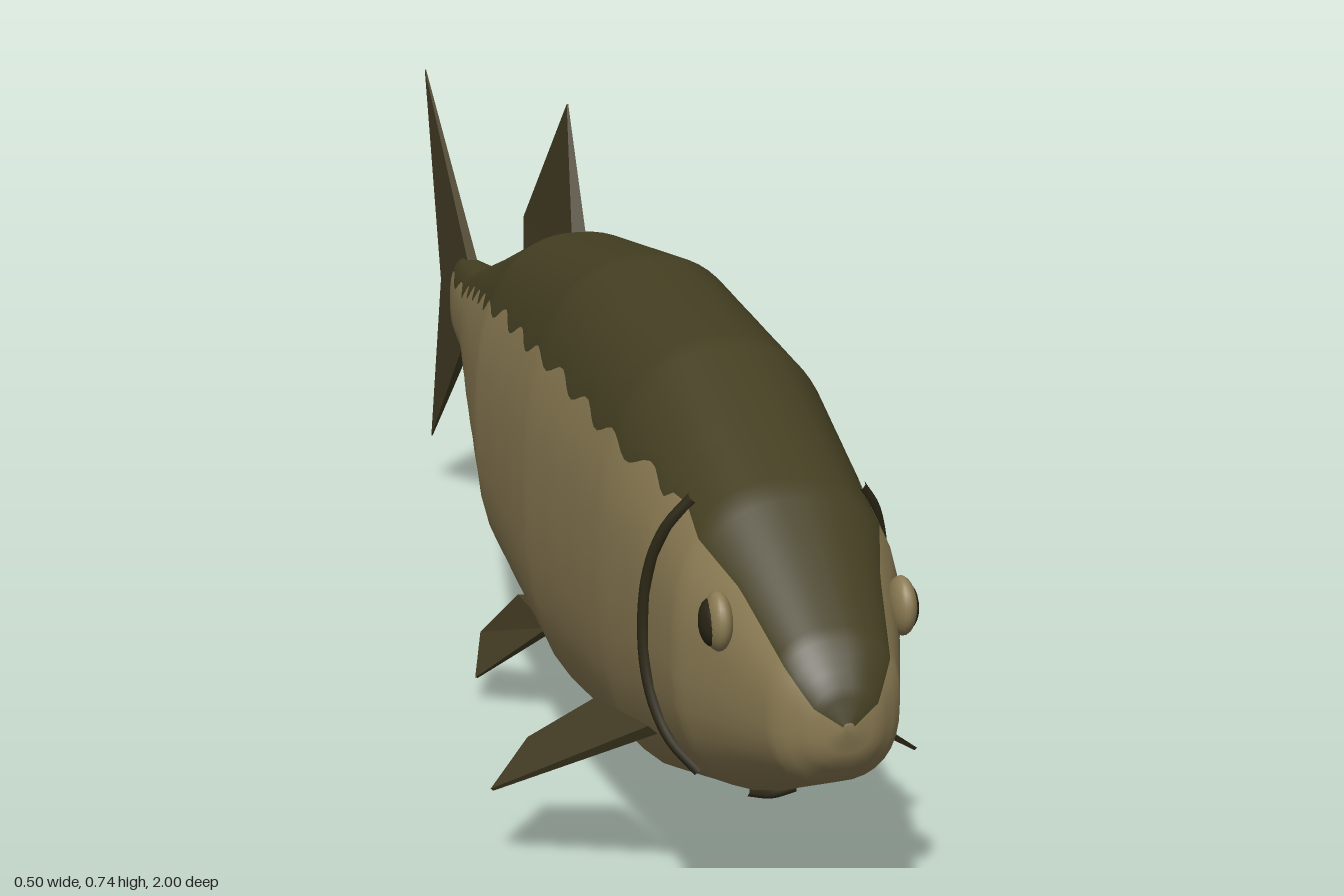
import * as THREE from 'three';

const mat = (name, color, side = THREE.FrontSide) => {
  const m = new THREE.MeshStandardMaterial({ color, side });
  m.name = name;
  return m;
};

// Body stations from nose to tail: z, top y, bottom y, half width
const STATIONS = [
  [0.998, 0.326, 0.314, 0.006], [0.988, 0.36, 0.28, 0.036], [0.96, 0.4, 0.25, 0.066],
  [0.8, 0.51, 0.18, 0.122], [0.56, 0.605, 0.11, 0.14], [0.25, 0.63, 0.083, 0.148],
  [-0.07, 0.59, 0.125, 0.135], [-0.32, 0.508, 0.205, 0.092], [-0.57, 0.43, 0.282, 0.046],
  [-0.72, 0.415, 0.29, 0.026],
];
// Height of the line between back and belly: z, y
const LINE = [
  [0.998, 0.322], [0.988, 0.34], [0.96, 0.375], [0.87, 0.43], [0.75, 0.485], [0.6, 0.5],
  [0.3, 0.52], [0, 0.51], [-0.2, 0.48], [-0.4, 0.44], [-0.57, 0.4], [-0.72, 0.388],
];
const POWER = 2.45; // squareness of the cross-section

function sample(table, z) {
  let i = 0;
  while (i < table.length - 2 && z < table[i + 1][0]) i++;
  const a = table[i], b = table[i + 1];
  const t = THREE.MathUtils.clamp((z - a[0]) / (b[0] - a[0]), 0, 1);
  return a.slice(1).map((v, k) => v + (b[k + 1] - v) * t);
}

const signedPow = (v, p) => Math.sign(v) * Math.pow(Math.abs(v), p);

// Half width of the body at a given height and length
function sideX(y, z) {
  const [top, bottom, w] = sample(STATIONS, z);
  const t = Math.min(1, Math.abs(y - (top + bottom) / 2) / ((top - bottom) / 2));
  return w * Math.pow(1 - Math.pow(t, POWER), 1 / POWER);
}

// One skin, with the scalloped colour line running along its rows
function bodyGeometry() {
  const zs = [];
  STATIONS.slice(0, -1).forEach((s, i) => {
    const end = STATIONS[i + 1][0];
    const n = Math.max(3, Math.ceil((s[0] - end) / 0.014));
    for (let k = 0; k < n; k++) zs.push(s[0] + ((end - s[0]) * k) / n);
  });
  zs.push(-0.72);
  const HALF = 22, N = HALF * 2;
  const pos = [], back = [], belly = [];
  for (const z of zs) {
    const [top, bottom, w] = sample(STATIONS, z);
    const c = (top + bottom) / 2, h = (top - bottom) / 2;
    const wave = z < 0.72 ? 0.009 * Math.sin((z * Math.PI * 2) / 0.105) : 0;
    const t = THREE.MathUtils.clamp((sample(LINE, z)[0] + wave - c) / h, -0.9, 0.95);
    const b = Math.acos(signedPow(t, POWER / 2));
    for (let j = 0; j < N; j++) {
      const a = j < HALF ? -b + (2 * b * j) / HALF
        : b + ((2 * Math.PI - 2 * b) * (j - HALF)) / HALF;
      pos.push(w * signedPow(Math.sin(a), 2 / POWER), c + h * signedPow(Math.cos(a), 2 / POWER), z);
    }
  }
  for (let i = 0; i < zs.length - 1; i++) {
    for (let j = 0; j < N; j++) {
      const a = i * N + j, b = i * N + ((j + 1) % N);
      (j < HALF ? back : belly).push(a, b, a + N, b, b + N, a + N);
    }
  }
  // End caps
  const last = (zs.length - 1) * N;
  for (let j = 1; j < N - 1; j++) {
    belly.push(0, j + 1, j);
    belly.push(last, last + j, last + j + 1);
  }
  const g = new THREE.BufferGeometry();
  g.setAttribute('position', new THREE.Float32BufferAttribute(pos, 3));
  g.setIndex([...back, ...belly]);
  g.addGroup(0, back.length, 0);
  g.addGroup(back.length, belly.length, 1);
  g.computeVertexNormals();
  return g;
}

// Flat fin from corner points, each given as x, y, z, half thickness
function finGeometry(corners) {
  const p = corners.map((c) => new THREE.Vector3(c[0], c[1], c[2]));
  const normal = p[1].clone().sub(p[0]).cross(p[2].clone().sub(p[0])).normalize();
  const up = p.map((v, i) => v.clone().addScaledVector(normal, corners[i][3]));
  const down = p.map((v, i) => v.clone().addScaledVector(normal, -corners[i][3]));
  const tris = [];
  for (let i = 1; i < p.length - 1; i++) {
    tris.push(up[0], up[i], up[i + 1], down[0], down[i + 1], down[i]);
  }
  for (let i = 0; i < p.length; i++) {
    const j = (i + 1) % p.length;
    tris.push(up[i], down[i], down[j], up[i], down[j], up[j]);
  }
  const g = new THREE.BufferGeometry().setFromPoints(tris);
  g.computeVertexNormals();
  return g;
}

export function createModel() {
  const group = new THREE.Group();
  group.name = 'fish';
  const backMat = mat('dark olive back', 0x443f22);
  const bellyMat = mat('tan belly', 0x8c7c54);
  const finMat = mat('olive fin', 0x463f26, THREE.DoubleSide);
  const gillMat = mat('dark gill', 0x2e2917);
  const pupilMat = mat('dark pupil', 0x2a2616);

  const add = (name, geometry, material) => {
    const m = new THREE.Mesh(geometry, material);
    m.name = name;
    group.add(m);
    return m;
  };

  add('body', bodyGeometry(), [backMat, bellyMat]);

  // Fins on the centre line
  add('dorsalFin', finGeometry([
    [0, 0.55, -0.055, 0.011], [0, 0.742, -0.125, 0.001], [0, 0.55, -0.355, 0.003], [0, 0.47, -0.32, 0.011],
  ]), finMat);
  add('analFin', finGeometry([
    [0, 0.18, -0.075, 0.01], [0, 0.0, -0.185, 0.001], [0, 0.16, -0.355, 0.003], [0, 0.25, -0.32, 0.01],
  ]), finMat);
  add('tailFin', finGeometry([
    [0, 0.345, -0.885, 0.004], [0, 0.075, -0.985, 0.001], [0, 0.29, -0.715, 0.007],
    [0, 0.418, -0.685, 0.007], [0, 0.642, -0.998, 0.001],
  ]), finMat);

  for (const s of [1, -1]) {
    const side = s > 0 ? 'left' : 'right';
    const mirror = (pts) => pts.map(([x, ...rest]) => [x * s, ...rest]);

    // Paired fins
    add(side + 'PectoralFin', finGeometry(mirror([
      [0.11, 0.213, 0.68, 0.007], [0.127, 0.19, 0.52, 0.007], [0.188, 0.122, 0.44, 0.003], [0.249, 0.095, 0.515, 0.002],
    ])), finMat);
    add(side + 'PelvicFin', finGeometry(mirror([
      [0.082, 0.14, 0.125, 0.007], [0.095, 0.15, 0.02, 0.007], [0.124, 0.068, -0.085, 0.003], [0.149, 0.034, -0.01, 0.002],
    ])), finMat);

    // Gill edge hugging the side of the head
    const gill = [];
    for (let k = 0; k <= 10; k++) {
      const y = 0.492 - 0.03 * k;
      const z = 0.715 + 0.04 * Math.pow((y - 0.34) / 0.15, 2);
      gill.push(new THREE.Vector3(s * (sideX(y, z) + 0.002), y, z));
    }
    add(side + 'GillEdge', new THREE.TubeGeometry(new THREE.CatmullRomCurve3(gill), 30, 0.007, 8), gillMat);

    // Eye with a raised pupil
    const eye = add(side + 'Eye', new THREE.SphereGeometry(1, 20, 14), bellyMat);
    eye.scale.set(0.014, 0.031, 0.027);
    eye.position.set(s * 0.097, 0.398, 0.872);
    const pupil = add(side + 'Pupil', new THREE.SphereGeometry(1, 18, 12), pupilMat);
    pupil.scale.set(0.012, 0.025, 0.023);
    pupil.position.set(s * 0.103, 0.396, 0.868);
  }

  // Small fold joining the gills under the throat
  const fold = new THREE.CatmullRomCurve3([
    new THREE.Vector3(-0.026, 0.163, 0.752),
    new THREE.Vector3(0, 0.158, 0.752),
    new THREE.Vector3(0.026, 0.163, 0.752),
  ]);
  add('throatFold', new THREE.TubeGeometry(fold, 8, 0.006, 6), gillMat);

  return group;
}
